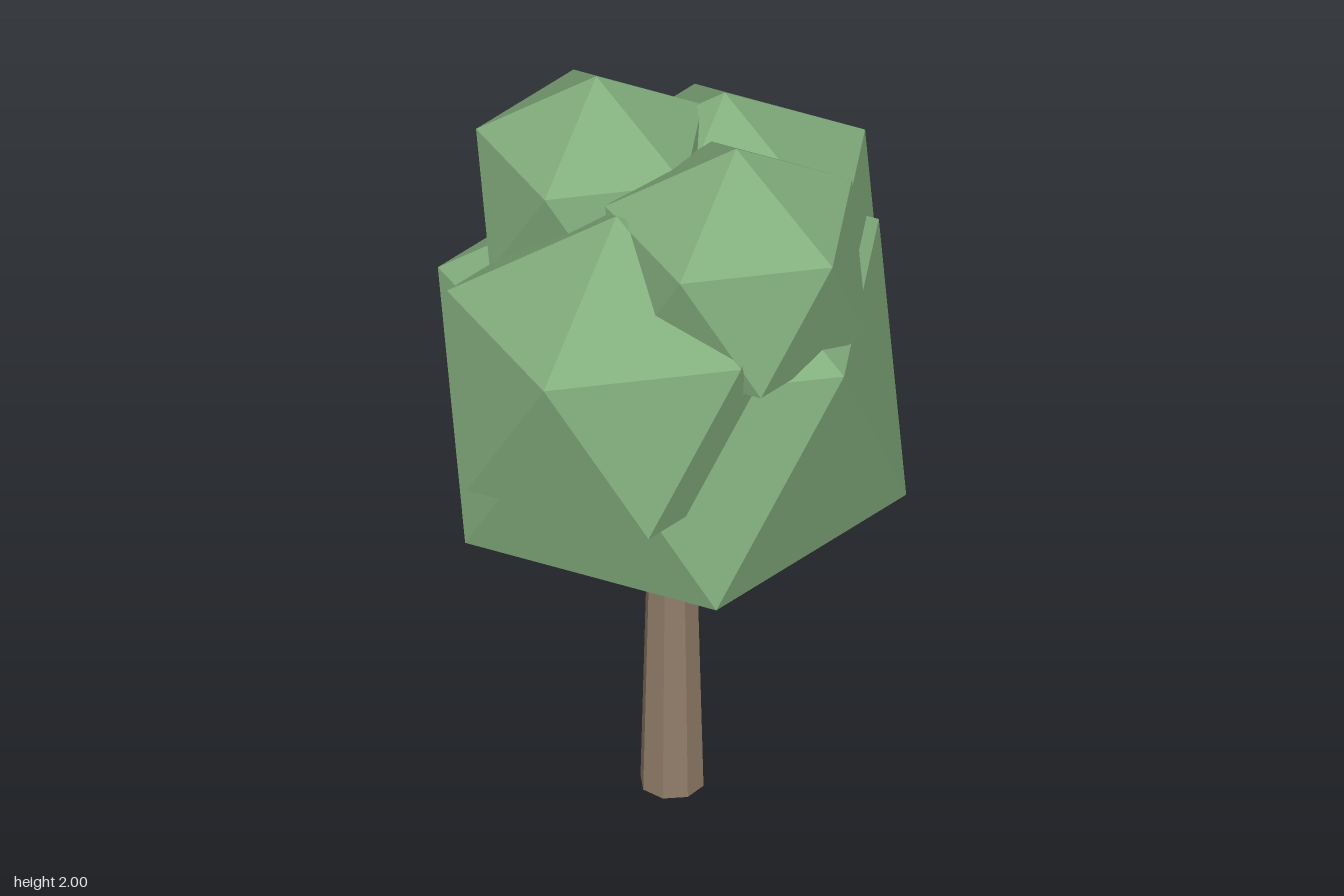
import * as THREE from 'three';

// Unit icosahedron standing on a corner: top, upper ring, lower ring, bottom
function standingIcosahedron() {
  const h = 1 / Math.sqrt(5), r = 2 * h;
  const points = [0, 1, 0];
  for (const [y, turn] of [[h, 0], [-h, Math.PI / 5]]) {
    for (let k = 0; k < 5; k++) {
      const a = k * Math.PI * 2 / 5 + turn;
      points.push(r * Math.cos(a), y, r * Math.sin(a));
    }
  }
  points.push(0, -1, 0);

  const faces = [];
  for (let k = 0; k < 5; k++) {
    const n = (k + 1) % 5;
    const u = 1 + k, un = 1 + n, l = 6 + k, ln = 6 + n;
    faces.push(0, un, u, u, un, l, l, un, ln, 11, l, ln);
  }
  const indexed = new THREE.BufferGeometry();
  indexed.setAttribute('position', new THREE.Float32BufferAttribute(points, 3));
  indexed.setIndex(faces);
  const geometry = indexed.toNonIndexed();
  geometry.computeVertexNormals();
  return geometry;
}

export function createModel() {
  const leaves = new THREE.MeshStandardMaterial({ color: 0x82ad7d, flatShading: true });
  leaves.name = 'leaf green';
  const bark = new THREE.MeshStandardMaterial({ color: 0x917d69, flatShading: true });
  bark.name = 'bark brown';

  const tree = new THREE.Group();
  tree.name = 'tree';

  // Tapered eight-sided trunk, its top hidden in the crown
  const trunk = new THREE.Mesh(new THREE.CylinderGeometry(0.06, 0.08, 0.8, 8), bark);
  trunk.name = 'trunk';
  trunk.position.set(0.008, 0.4, 0);
  tree.add(trunk);

  // Crown: overlapping leaf clumps as name, radius, centre
  const clumps = [
    ['mainFoliage', 0.643, 0.008, 1.187, 0],
    ['frontFoliage', 0.36, 0.06, 1.64, 0.23],
    ['backFoliage', 0.33, -0.09, 1.67, -0.205],
    ['rightFoliage', 0.466, -0.215, 1.362, 0.125],
    ['leftFoliage', 0.436, 0.24, 1.435, -0.155],
  ];
  const clump = standingIcosahedron();
  for (const [name, radius, x, y, z] of clumps) {
    const mesh = new THREE.Mesh(clump, leaves);
    mesh.name = name;
    mesh.scale.setScalar(radius);
    mesh.position.set(x, y, z);
    tree.add(mesh);
  }
  return tree;
}
